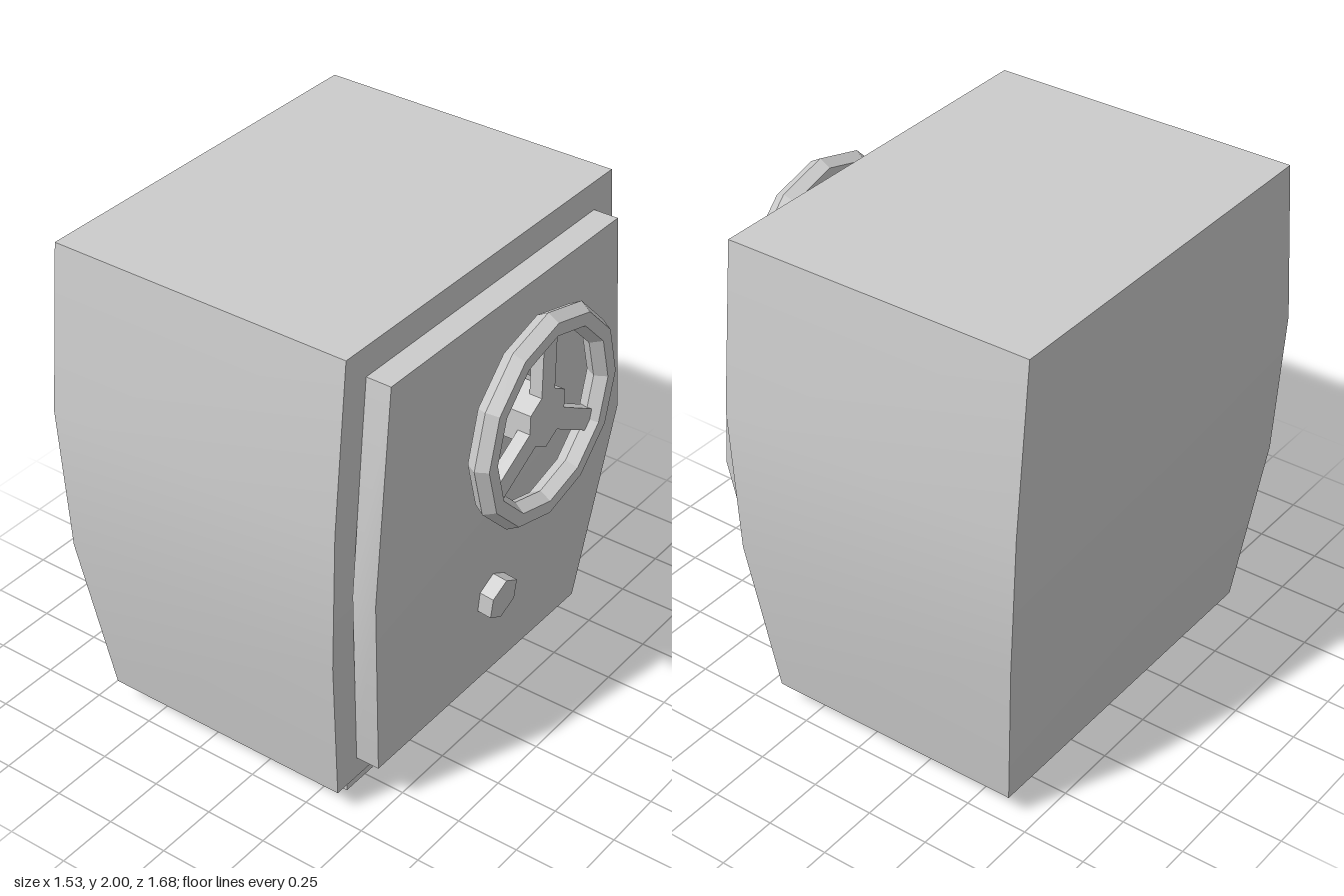
import * as THREE from 'three';

const material = new THREE.MeshStandardMaterial({ color: 0xcccccc });
const faceted = new THREE.MeshStandardMaterial({ color: 0xcccccc, flatShading: true });

// Stack of rectangular sections [y, xMin, xMax, zHalf]: sides are smooth
// up the bulge, while the corners between them stay sharp.
function loftBox(rows) {
  const pos = [], index = [];
  const corners = ([y, x0, x1, z]) => [[x0, y, z], [x1, y, z], [x1, y, -z], [x0, y, -z]];
  const sections = rows.map(corners);
  const strip = (pairs) => {
    const base = pos.length / 3;
    pairs.forEach(([a, b]) => pos.push(...a, ...b));
    for (let i = 0; i < pairs.length - 1; i++) {
      const k = base + i * 2;
      index.push(k, k + 1, k + 3, k, k + 3, k + 2);
    }
  };
  for (let s = 0; s < 4; s++) strip(sections.map((c) => [c[s], c[(s + 1) % 4]]));
  const bottom = sections[0], top = sections[sections.length - 1];
  strip([[top[0], top[1]], [top[3], top[2]]]);
  strip([[bottom[3], bottom[2]], [bottom[0], bottom[1]]]);
  const geo = new THREE.BufferGeometry();
  geo.setAttribute('position', new THREE.Float32BufferAttribute(pos, 3));
  geo.setIndex(index);
  geo.computeVertexNormals();
  return geo;
}

// Hexagonal bar along x with a corner pointing up
function hexBar(radius, length) {
  return new THREE.CylinderGeometry(radius, radius, length, 6, 1, false, Math.PI / 2).rotateZ(-Math.PI / 2);
}

export function createModel() {
  const model = new THREE.Group();
  model.name = 'safe';
  const add = (name, geo, x = 0, y = 0, z = 0, mat = faceted, parent = model) => {
    const mesh = new THREE.Mesh(geo, mat);
    mesh.name = name;
    mesh.position.set(x, y, z);
    parent.add(mesh);
    return mesh;
  };

  // Bulging cabinet
  add('body', loftBox([
    [0.1, -0.665, 0.38, 0.73],
    [0.77, -0.74, 0.44, 0.828],
    [1.35, -0.768, 0.466, 0.842],
    [2, -0.764, 0.466, 0.775],
  ]), 0, 0, 0, material);

  // Door slab, bent to follow the cabinet
  add('door', loftBox([
    [0.203, 0.39, 0.487, 0.63],
    [1.05, 0.469, 0.565, 0.752],
    [1.885, 0.465, 0.565, 0.67],
  ]), 0, 0, 0, material);

  // Feet
  for (const x of [-0.475, 0.21])
    for (const z of [-0.533, 0.533]) add('foot', new THREE.BoxGeometry(0.24, 0.11, 0.156), x, 0.055, z);

  // Hand wheel: hub, three spokes and a ring
  const wheel = new THREE.Group();
  wheel.name = 'handWheel';
  wheel.position.set(0.717, 1.472, 0);
  model.add(wheel);
  add('wheelRing', new THREE.TorusGeometry(0.363, 0.05, 6, 12).rotateY(Math.PI / 2), 0, 0, 0, faceted, wheel);
  add('wheelHub', hexBar(0.121, 0.18), -0.075, 0, 0, faceted, wheel);
  for (let i = 0; i < 3; i++) {
    const spoke = new THREE.BoxGeometry(0.05, 0.28, 0.08).translate(0, 0.2, 0);
    add('wheelSpoke', spoke, -0.01, 0, 0, faceted, wheel).rotation.x = (i * Math.PI * 2) / 3;
  }

  // Lock knob, square to the sloping lower door
  add('lockKnob', hexBar(0.087, 0.1), 0.533, 0.625, 0).rotation.z = -0.11;

  return model;
}
